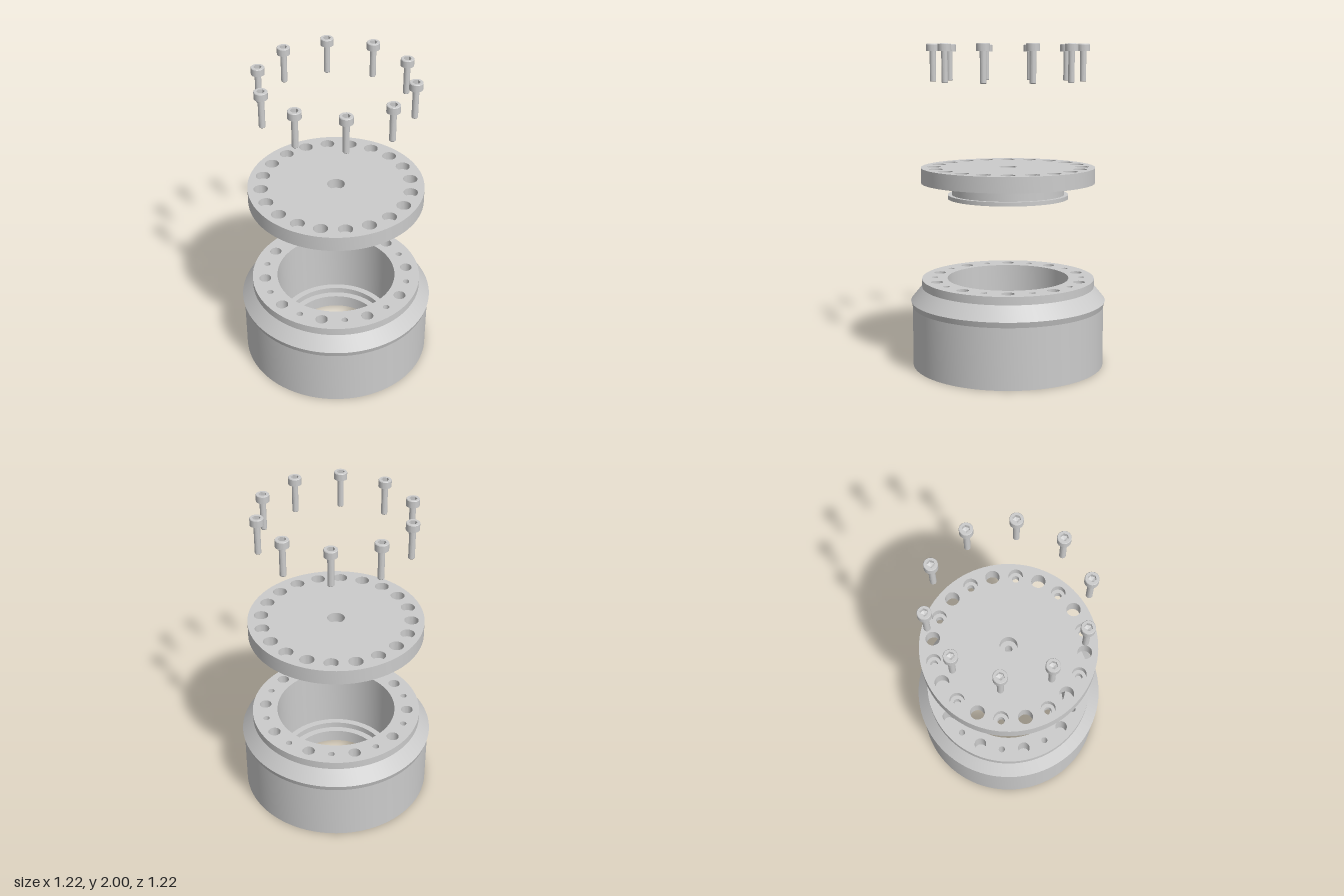
import * as THREE from 'three';
import { toCreasedNormals } from 'three/addons/utils/BufferGeometryUtils.js';

const metal = new THREE.MeshStandardMaterial({ color: 0xcccccc });
const BOLT_CIRCLE = 0.46;
const HOLES = 20; // even = bolt holes, odd = wide plain holes

function mesh(name, geometry) {
  const m = new THREE.Mesh(geometry, metal);
  m.name = name;
  return m;
}

// Surface of revolution with crisp edges; profile going up faces out, going down faces in
function turned(name, profile, segments = 96) {
  const pts = profile.map(([r, y]) => new THREE.Vector2(r, y));
  return mesh(name, toCreasedNormals(new THREE.LatheGeometry(pts, segments), 0.25));
}

function circle(r, n, cx = 0, cy = 0) {
  return Array.from({ length: n }, (_, i) => {
    const a = (i / n) * Math.PI * 2;
    return new THREE.Vector2(cx + r * Math.cos(a), cy + r * Math.sin(a));
  });
}

// Flat disc at height y with holes cut out
function face(name, radius, y, holes, up = true, segments = 96) {
  const shape = new THREE.Shape(circle(radius, segments));
  for (const h of holes) shape.holes.push(new THREE.Path(h));
  const g = new THREE.ShapeGeometry(shape);
  g.rotateX(up ? -Math.PI / 2 : Math.PI / 2);
  g.translate(0, y, 0);
  return mesh(name, g);
}

function spot(i) {
  const a = (i / HOLES) * Math.PI * 2;
  return [BOLT_CIRCLE * Math.sin(a), BOLT_CIRCLE * Math.cos(a)];
}

function holeRing(boltR, wideR) {
  return Array.from({ length: HOLES }, (_, i) => circle(i % 2 ? wideR : boltR, 32, ...spot(i)));
}

// Inner walls of the ring of holes
function addHoleWalls(group, boltProfile, wideProfile) {
  for (let i = 0; i < HOLES; i++) {
    const wall = turned(i % 2 ? 'wideHole' : 'boltHole', i % 2 ? wideProfile : boltProfile, 32);
    const [x, z] = spot(i);
    wall.position.set(x, 0, z);
    group.add(wall);
  }
}

// Hollow housing with a flared shoulder and a stepped bore
function makeHousing() {
  const g = new THREE.Group();
  g.name = 'housing';
  g.add(turned('housingShell', [
    [0.38, 0.545], [0.38, 0.125], [0.34, 0.125], [0.34, 0.085], [0.298, 0.085], [0.298, 0],
    [0.6, 0], [0.6, 0.375], [0.61, 0.41], [0.54, 0.495], [0.54, 0.545],
  ]));
  g.add(face('housingRim', 0.54, 0.545, [circle(0.38, 96), ...holeRing(0.02, 0.038)]));
  addHoleWalls(g,
    [[0.02, 0.545], [0.02, 0.38], [0, 0.37]],
    [[0.038, 0.545], [0.038, 0.4], [0, 0.4]]);
  return g;
}

// Drilled flange with a grooved plug underneath
function makeLid() {
  const g = new THREE.Group();
  g.name = 'lid';
  const top = 1.245, under = 1.15;
  g.add(turned('flangeEdge', [[0.54, under], [0.54, top]]));
  g.add(turned('grooveAndPlug', [
    [0.023, 1.105], [0.3, 1.105], [0.3, 1.05], [0.375, 1.05], [0.375, 1.075],
    [0.35, 1.075], [0.35, 1.122], [0.375, 1.122], [0.375, under],
  ]));
  g.add(face('flangeTop', 0.54, top, [circle(0.054, 32), ...holeRing(0.044, 0.044)]));
  g.add(face('flangeUnderside', 0.54, under, [circle(0.375, 96), ...holeRing(0.022, 0.044)], false));
  g.add(turned('centreHole', [[0.054, top], [0.054, 1.18], [0.023, 1.18], [0.023, 1.105]], 32));
  addHoleWalls(g,
    [[0.044, top], [0.044, 1.195], [0.022, 1.195], [0.022, under]],
    [[0.044, top], [0.044, under]]);
  return g;
}

// Cap screw with a hexagonal socket
function makeBolt() {
  const g = new THREE.Group();
  g.name = 'bolt';
  g.add(turned('shankAndHead', [
    [0, 1.77], [0.016, 1.77], [0.019, 1.774], [0.019, 1.955],
    [0.04, 1.955], [0.04, 1.996], [0.037, 2],
  ], 32));
  g.add(face('headTop', 0.037, 2, [circle(0.024, 6, 0, 0)], true, 32));
  const socket = turned('hexSocket', [[0.024, 2], [0.024, 1.975], [0, 1.965]], 6);
  socket.rotation.y = Math.PI / 6;
  g.add(socket);
  return g;
}

export function createModel() {
  const model = new THREE.Group();
  model.name = 'explodedHousing';
  model.add(makeHousing(), makeLid());
  for (let i = 0; i < HOLES; i += 2) {
    const bolt = makeBolt();
    const [x, z] = spot(i);
    bolt.position.set(x, 0, z);
    model.add(bolt);
  }
  return model;
}
